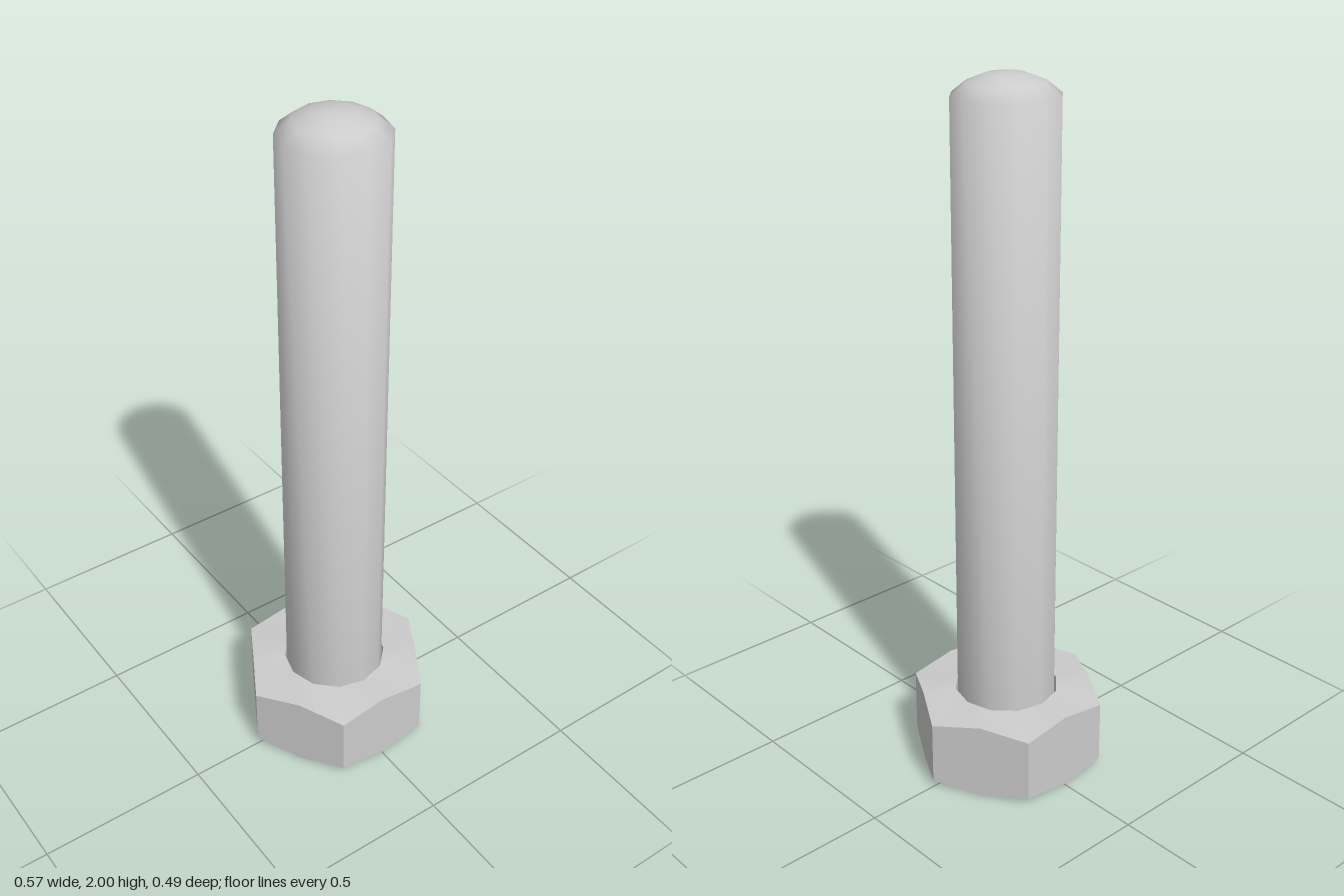
import * as THREE from 'three';
import { toCreasedNormals } from 'three/addons/utils/BufferGeometryUtils.js';

const SIDES = 12;
const metal = new THREE.MeshStandardMaterial({ color: 0xcccccc });

// Twelve-sided lathe from [radius, height] pairs, listed bottom to top on the outside
function lathe(profile) {
  return new THREE.LatheGeometry(profile.map(([r, y]) => new THREE.Vector2(r, y)), SIDES);
}

function addPart(group, name, geometry, crease) {
  const mesh = new THREE.Mesh(toCreasedNormals(geometry, crease), metal);
  mesh.name = name;
  group.add(mesh);
}

export function createModel() {
  const model = new THREE.Group();
  model.name = 'boltAndNut';

  // Shaft: ends inside the nut, smooth shallow dome on top
  const shaft = lathe([
    [0, 0.1], [0.145, 0.1], [0.145, 1.942],
    [0.105, 1.974], [0.055, 1.994], [0, 2],
  ]);
  addPart(model, 'shaft', shaft, 1.1);

  // Hexagonal nut: closed ring profile, every second column pulled out to a chamfered corner
  const height = 0.227, flat = 0.247, hole = 0.151, drop = 0.021;
  const profile = [[hole, 0], [flat, 0], [flat, height], [hole, height], [hole, 0]];
  const nut = lathe(profile);
  const pos = nut.attributes.position;
  const stretch = 1 / Math.cos(Math.PI / 6);
  for (let i = 1; i <= SIDES; i += 2) {
    for (const j of [1, 2]) {
      const k = i * profile.length + j;
      const y = j === 1 ? drop : height - drop;
      pos.setXYZ(k, pos.getX(k) * stretch, y, pos.getZ(k) * stretch);
    }
  }
  addPart(model, 'nut', nut, 0.7);

  return model;
}
